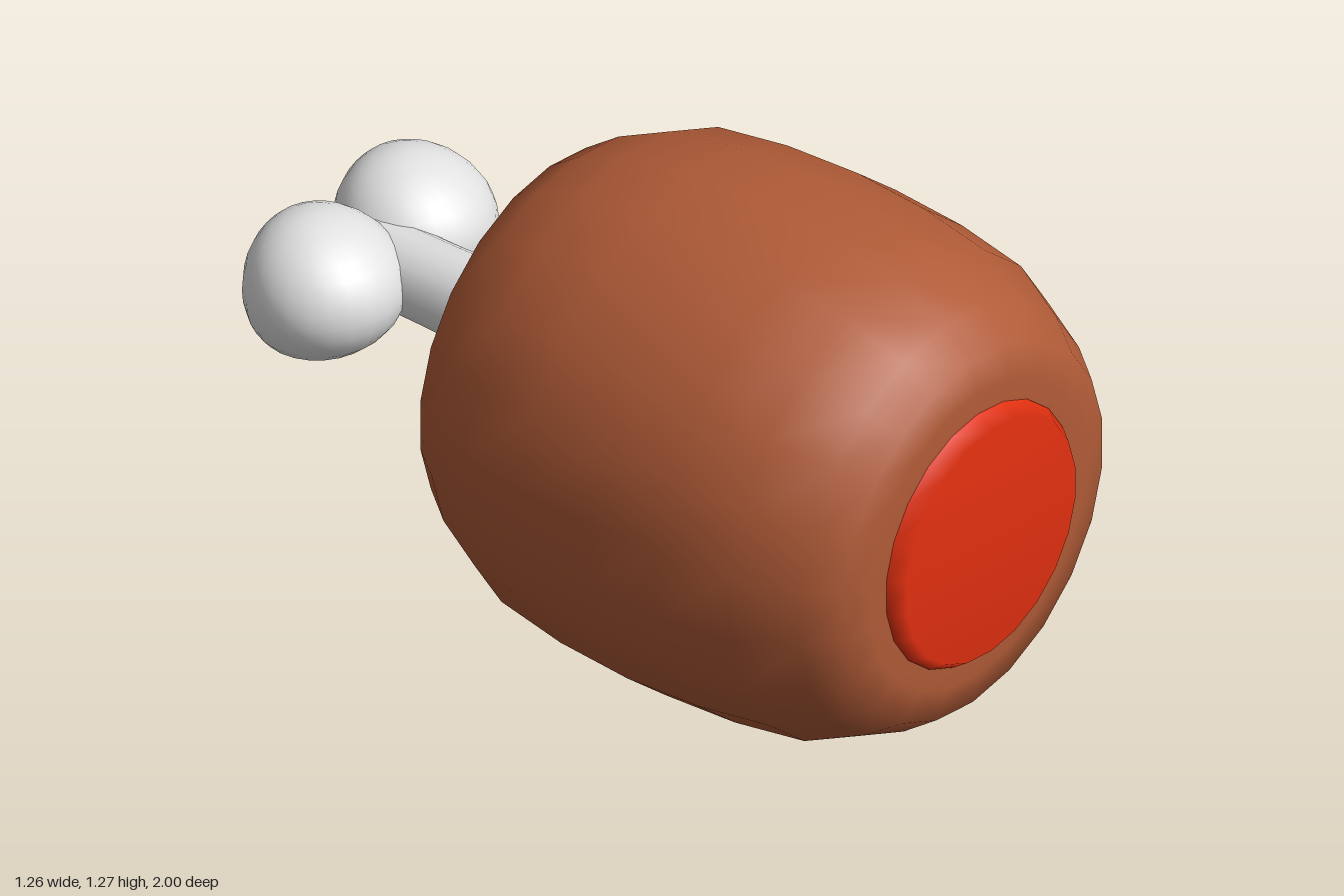
import * as THREE from 'three';
import { mergeVertices } from 'three/addons/utils/BufferGeometryUtils.js';

const AXIS_Y = 0.634;   // height of the long axis
const MEAT_Z = 0.328;   // middle of the meat

function material(name, color) {
  const m = new THREE.MeshStandardMaterial({ color });
  m.name = name;
  return m;
}

// Solid of revolution around z; profile is [radius, z] from back to front
function turned(name, profile, sides, mat) {
  const geo = new THREE.LatheGeometry(profile.map(([r, z]) => new THREE.Vector2(r, z)), sides);
  geo.rotateX(Math.PI / 2);
  const mesh = new THREE.Mesh(geo, mat);
  mesh.name = name;
  return mesh;
}

// Rounded bone end, bulging slightly backwards at its top and bottom
function knobGeometry() {
  let geo = new THREE.SphereGeometry(1, 24, 16);
  const p = geo.attributes.position;
  for (let i = 0; i < p.count; i++) {
    const x = p.getX(i), y = p.getY(i), z = p.getZ(i);
    p.setXYZ(i, x * 0.195, y * 0.176, z * 0.186 - 0.035 * y * y);
  }
  geo.deleteAttribute('uv');
  geo.deleteAttribute('normal');
  geo = mergeVertices(geo, 1e-4);
  geo.computeVertexNormals();
  return geo;
}

export function createModel() {
  const crust = material('roasted brown', 0xb05b37);
  const flesh = material('raw red', 0xe23010);
  const bone = material('bone white', 0xe0e0e0);

  const model = new THREE.Group();
  model.name = 'meatOnBone';
  const body = new THREE.Group();
  body.name = 'body';
  body.position.y = AXIS_Y;
  model.add(body);

  // Barrel of meat, mirrored about its middle
  const half = [[0.3, 0.632], [0.385, 0.632], [0.466, 0.618], [0.525, 0.537],
    [0.596, 0.39], [0.624, 0.2]];
  const profile = [
    ...half.map(([r, d]) => [r, MEAT_Z - d]),
    [0.634, MEAT_Z],
    ...half.map(([r, d]) => [r, MEAT_Z + d]).reverse(),
  ];
  body.add(turned('meat', profile, 22, crust));

  // Red cut faces at both ends
  body.add(turned('frontCut', [[0.328, 0.94], [0.328, 0.965], [0.303, 1], [0, 1]], 22, flesh));
  body.add(turned('backCut', [[0, -0.344], [0.303, -0.344], [0.328, -0.309], [0.328, -0.284]], 22, flesh));

  // Bone shaft and its two knobs
  body.add(turned('boneShaft', [[0.098, -0.8], [0.1, -0.6], [0.109, -0.34], [0.109, -0.3]], 16, bone));
  const knob = knobGeometry();
  for (const [name, x] of [['leftKnob', 0.16], ['rightKnob', -0.16]]) {
    const mesh = new THREE.Mesh(knob, bone);
    mesh.name = name;
    mesh.position.set(x, 0, -0.814);
    body.add(mesh);
  }
  return model;
}
